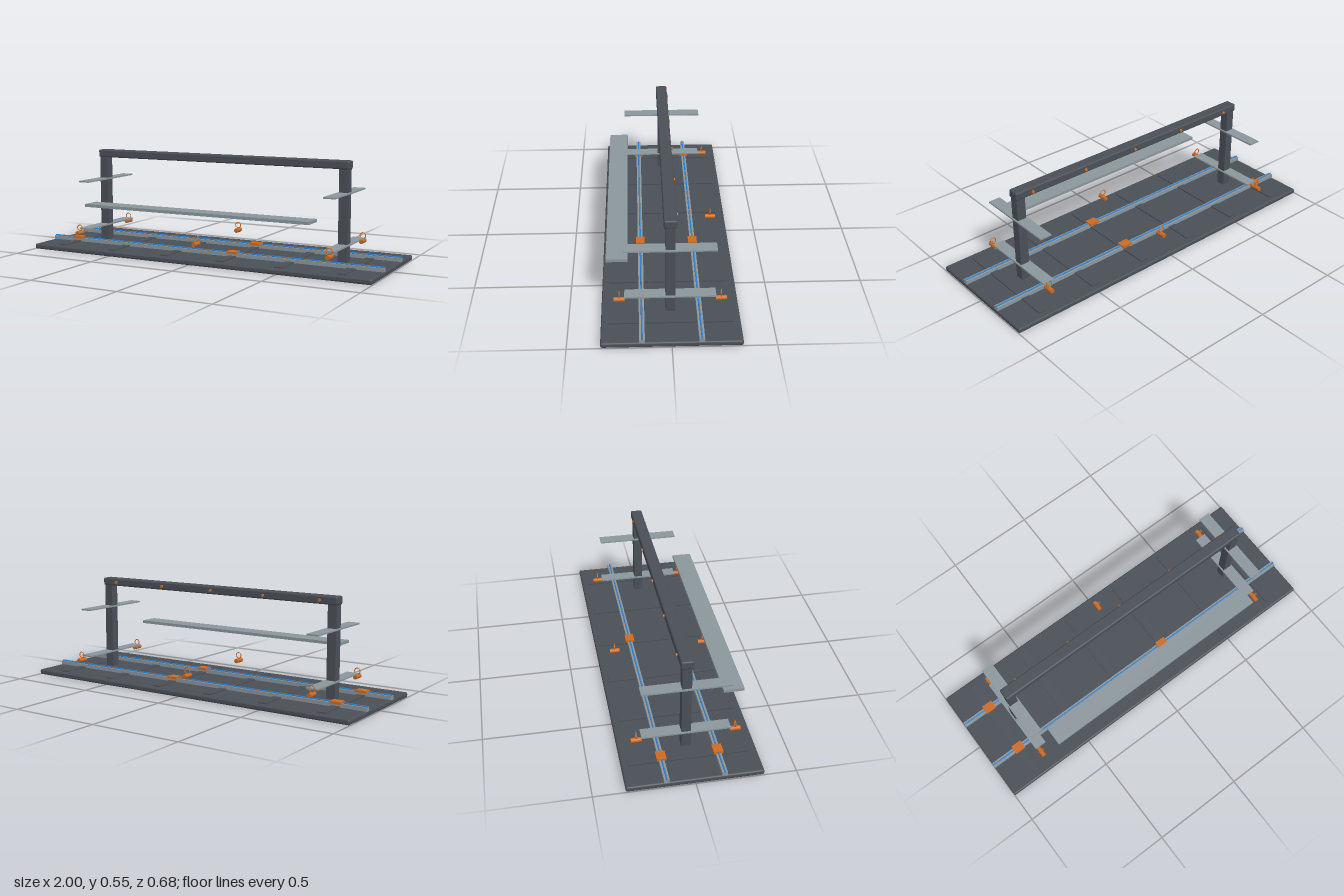
import * as THREE from 'three';
import { RoundedBoxGeometry } from 'three/addons/geometries/RoundedBoxGeometry.js';

const material = (name, color) => {
  const m = new THREE.MeshStandardMaterial({ color });
  m.name = name;
  return m;
};

export function createModel() {
  const dark = material('dark steel', 0x4a4f57);
  const grey = material('light grey metal', 0x8b969c);
  const orange = material('orange', 0xcc6a22);
  const blue = material('blue', 0x2f80cc);

  const model = new THREE.Group();
  model.name = 'workbenchFrame';

  const add = (name, geometry, mat, x, y, z, parent = model) => {
    const mesh = new THREE.Mesh(geometry, mat);
    mesh.name = name;
    mesh.position.set(x, y, z);
    parent.add(mesh);
    return mesh;
  };
  const box = (w, h, d) => new THREE.BoxGeometry(w, h, d);
  // Cylinder lying along z
  const rod = (r, length) => new THREE.CylinderGeometry(r, r, length, 24).rotateX(Math.PI / 2);

  // Base plate with six raised cross strips
  add('basePlate', new RoundedBoxGeometry(2, 0.028, 0.68, 3, 0.009), dark, 0, 0.014, 0);
  for (let i = 0; i < 6; i++) {
    add('crossStrip', box(0.045, 0.01, 0.61), dark, -5 / 6 + i / 3, 0.029, 0);
  }

  // Two long rails, each with a blue guide line and two clamps
  for (const z of [-0.142, 0.142]) {
    add('rail', box(2, 0.021, 0.027), grey, 0, 0.0375, z);
    add('guideLine', new THREE.CylinderGeometry(0.004, 0.004, 2, 12).rotateZ(Math.PI / 2), blue, 0, 0.05, z);
    for (const x of [-0.834, 0.166]) {
      add('railClamp', box(0.06, 0.012, 0.048), orange, x, 0.051, z);
    }
  }

  // Posts with two cross arms each
  for (const x of [-0.735, 0.735]) {
    add('post', box(0.05, 0.49, 0.048), dark, x, 0.27, 0);
    for (const y of [0.118, 0.386]) {
      add('crossArm', box(0.065, 0.008, 0.45), grey, x, y, 0);
    }
  }

  // Top beam with a row of knobs on its back
  add('topBeam', new RoundedBoxGeometry(1.53, 0.043, 0.064, 3, 0.008), dark, 0, 0.5315, 0);
  for (let i = -2; i <= 2; i++) {
    add('beamKnob', rod(0.008, 0.012), orange, i / 3, 0.53, -0.033);
  }

  // Front shelf
  add('frontShelf', box(1.33, 0.016, 0.106), grey, 0, 0.268, 0.26);

  // Cable holders: short barrel with an upright ring
  for (const z of [-0.25, 0.25]) {
    for (const x of [-0.75, 0, 0.75]) {
      const holder = new THREE.Group();
      holder.name = 'cableHolder';
      holder.position.set(x, 0, z);
      add('barrel', rod(0.0125, 0.054), orange, 0, 0.0975, 0, holder);
      add('ring', new THREE.TorusGeometry(0.016, 0.0025, 10, 32), orange, 0, 0.127, 0, holder);
      model.add(holder);
    }
  }

  return model;
}
